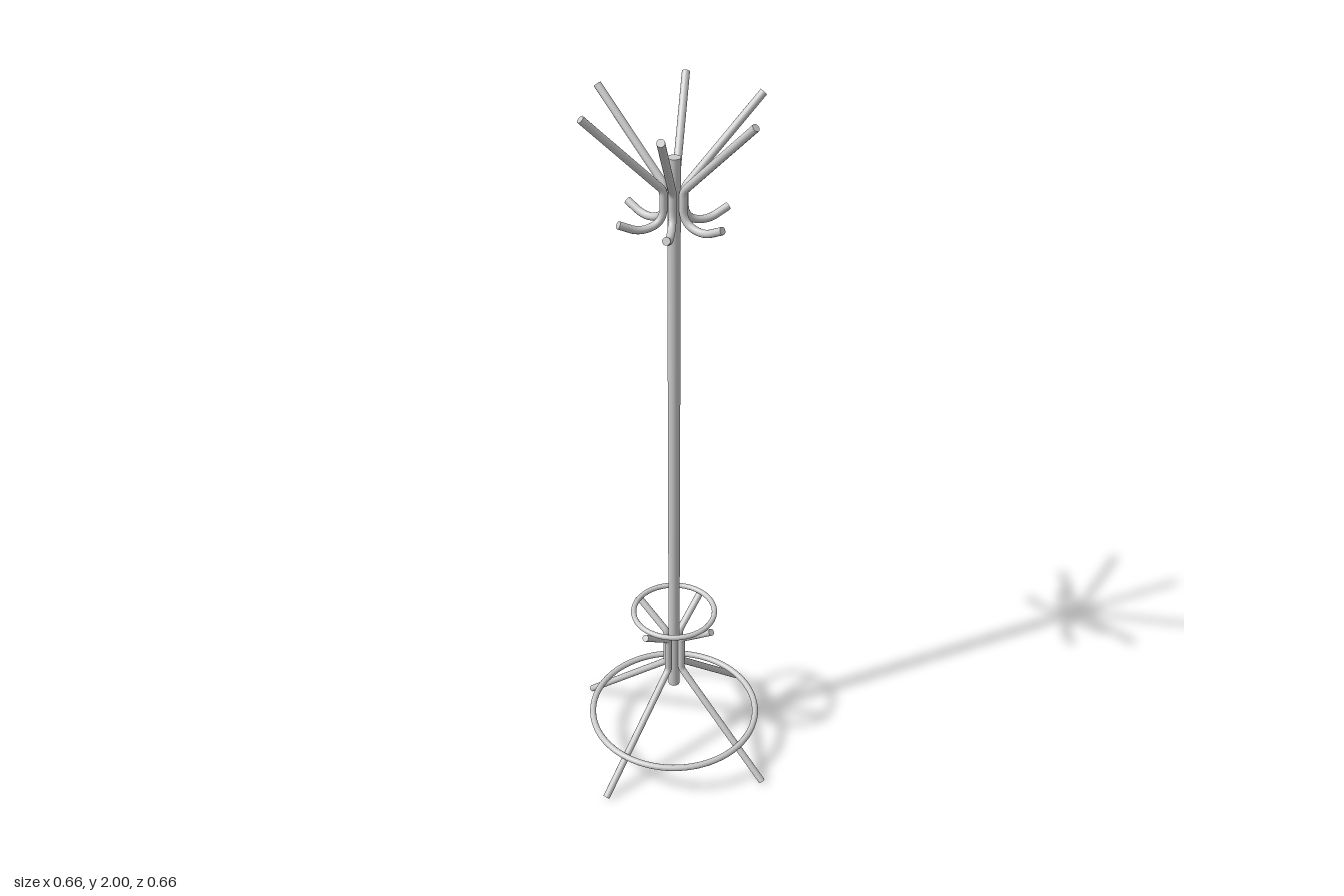
import * as THREE from 'three';

const material = new THREE.MeshStandardMaterial({ color: 0xcccccc });

// Polyline in the x-y plane with each inner corner rounded off by its own distance
function roundedPath(points, rounds) {
  const pts = points.map(([x, y]) => new THREE.Vector3(x, y, 0));
  const path = new THREE.CurvePath();
  let from = pts[0];
  for (let i = 1; i < pts.length - 1; i++) {
    const p = pts[i], d = rounds[i - 1];
    const a = p.clone().add(pts[i - 1].clone().sub(p).setLength(d));
    const b = p.clone().add(pts[i + 1].clone().sub(p).setLength(d));
    path.add(new THREE.LineCurve3(from, a));
    path.add(new THREE.QuadraticBezierCurve3(a, p, b));
    from = b;
  }
  path.add(new THREE.LineCurve3(from, pts[pts.length - 1]));
  return path;
}

// Bent rod with flat end caps
function rod(name, path, radius) {
  const group = new THREE.Group();
  group.name = name;
  const tube = new THREE.Mesh(new THREE.TubeGeometry(path, 90, radius, 14), material);
  tube.name = name + 'Tube';
  group.add(tube);
  for (const t of [0, 1]) {
    const cap = new THREE.Mesh(new THREE.CircleGeometry(radius, 14), material);
    cap.name = name + 'Cap';
    const out = path.getTangentAt(t).multiplyScalar(t ? 1 : -1);
    cap.position.copy(path.getPointAt(t));
    cap.quaternion.setFromUnitVectors(new THREE.Vector3(0, 0, 1), out);
    group.add(cap);
  }
  return group;
}

function ring(name, radius, tube, y) {
  const mesh = new THREE.Mesh(new THREE.TorusGeometry(radius, tube, 14, 80), material);
  mesh.name = name;
  mesh.rotation.x = Math.PI / 2;
  mesh.position.y = y;
  return mesh;
}

export function createModel() {
  const model = new THREE.Group();
  model.name = 'coatStand';

  // Central pole
  const pole = new THREE.Mesh(new THREE.CylinderGeometry(0.0162, 0.0162, 1.65, 24), material);
  pole.name = 'pole';
  pole.position.y = 1.043;
  model.add(pole);

  // Four legs, each bending up along the pole and out again under the upper ring
  const legPath = roundedPath(
    [[0.324, 0.007], [0.027, 0.289], [0.027, 0.404], [0.132, 0.483]], [0.01, 0.01]);
  for (let i = 0; i < 4; i++) {
    const leg = rod('leg', legPath, 0.0098);
    leg.rotation.y = i * Math.PI / 2;
    model.add(leg);
  }

  // Rings resting on the legs
  model.add(ring('footRing', 0.2435, 0.009, 0.112));
  model.add(ring('umbrellaRing', 0.1155, 0.0075, 0.494));

  // Six double hooks: long arm above, curled hook below
  const hookPath = roundedPath(
    [[0.226, 1.993], [0.027, 1.79], [0.027, 1.707], [0.09, 1.696], [0.142, 1.722]],
    [0.012, 0.04, 0.024]);
  for (let i = 0; i < 6; i++) {
    const hook = rod('coatHook', hookPath, 0.0098);
    hook.rotation.y = i * Math.PI / 3;
    model.add(hook);
  }
  return model;
}
